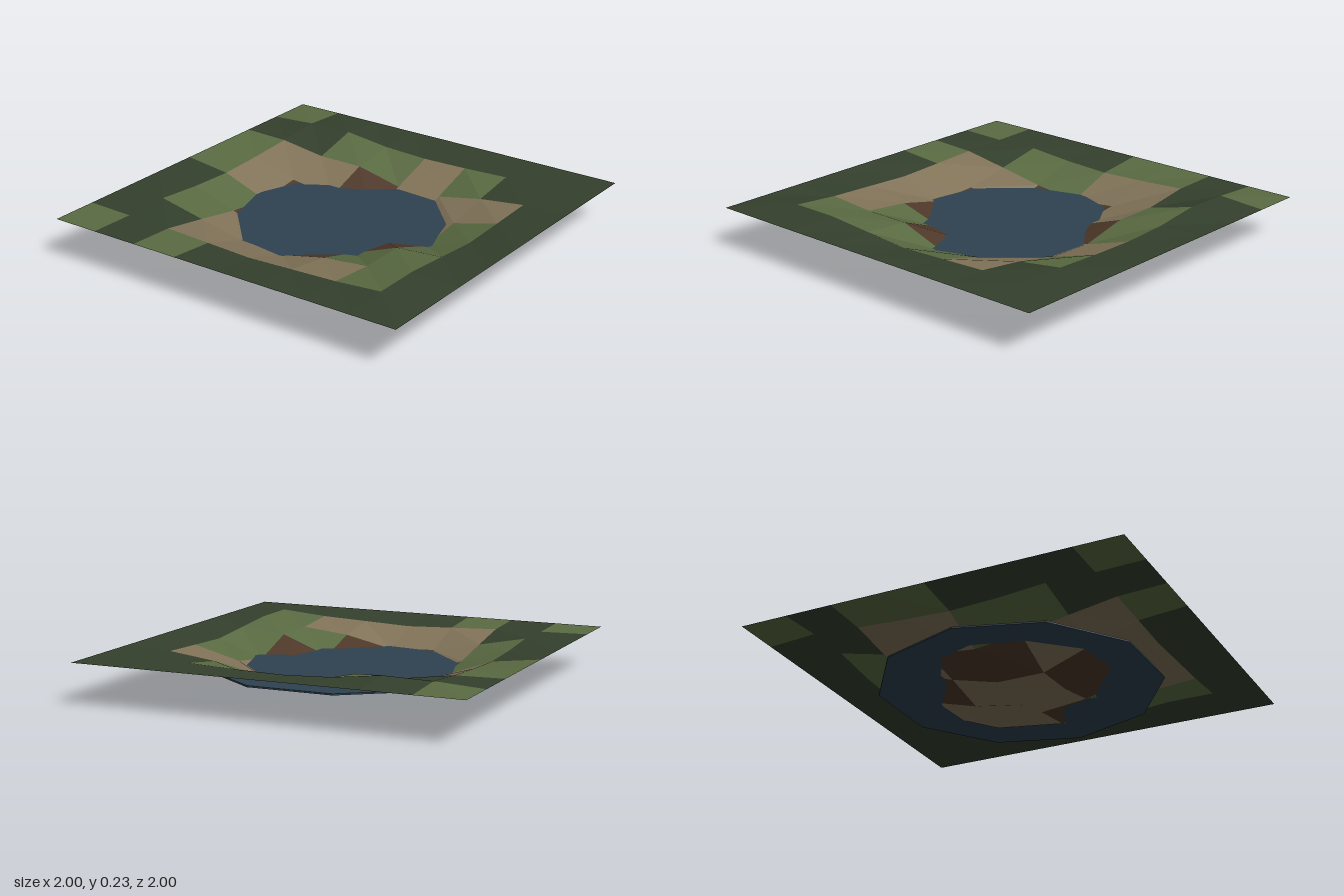
import * as THREE from 'three';

const COLORS = {
  D: ['darkGrass', 0x34402d],
  G: ['lightGrass', 0x5a6b42],
  B: ['sand', 0x827459],
  R: ['mud', 0x4e3829],
};

// Ground type of each tile, back row first, from -x to +x
const TILES = [
  'GDDDGGDG',
  'DDGGBBDD',
  'GBBRRBGD',
  'DBRBBRGD',
  'DBRBBBBD',
  'DBGRBBGD',
  'DGGGGBDD',
  'DDDDDDDD',
];

// Heights of the inner grid points in hundredths, back row first; the rim is level
const RIM = 0.21;
const HEIGHTS = [
  [20.5, 21, 19, 18, 19, 20.5, 22.5],
  [20, 16, 11.7, 9, 11.7, 17, 23],
  [19, 11.2, 2, 2, 8.5, 17, 20],
  [18, 10, 3.5, 0, 4.2, 11.4, 19],
  [19, 15.5, 8.5, 6, 2, 12.1, 19.5],
  [20, 18, 18, 9.5, 12.6, 17, 20.5],
  [22, 22, 20, 18, 19, 20, 21],
];

function gridPoint(col, row) {
  const h = HEIGHTS[row - 1]?.[col - 1];
  return [col / 4 - 1, h === undefined ? RIM : h / 100, row / 4 - 1];
}

// All tiles of one ground type as a faceted sheet
function groundGeometry(type) {
  const positions = [];
  TILES.forEach((line, row) => {
    [...line].forEach((t, col) => {
      if (t !== type) return;
      const a = gridPoint(col, row);
      const b = gridPoint(col, row + 1);
      const c = gridPoint(col + 1, row + 1);
      const d = gridPoint(col + 1, row);
      positions.push(...a, ...b, ...d, ...b, ...c, ...d);
    });
  });
  const geometry = new THREE.BufferGeometry();
  geometry.setAttribute('position', new THREE.Float32BufferAttribute(positions, 3));
  geometry.computeVertexNormals();
  return geometry;
}

export function createModel() {
  const model = new THREE.Group();
  model.name = 'pond';

  // Sunken terrain
  const terrain = new THREE.Group();
  terrain.name = 'terrain';
  for (const [type, [name, color]] of Object.entries(COLORS)) {
    const material = new THREE.MeshStandardMaterial({ color, flatShading: true, side: THREE.DoubleSide });
    material.name = name;
    const mesh = new THREE.Mesh(groundGeometry(type), material);
    mesh.name = name + 'Ground';
    terrain.add(mesh);
  }
  model.add(terrain);

  // Ten-sided water sheet
  const waterMaterial = new THREE.MeshStandardMaterial({ color: 0x2e4150, flatShading: true });
  waterMaterial.name = 'water';
  const water = new THREE.Mesh(new THREE.CylinderGeometry(0.725, 0.725, 0.008, 10), waterMaterial);
  water.name = 'water';
  water.position.y = 0.104;
  model.add(water);

  return model;
}
